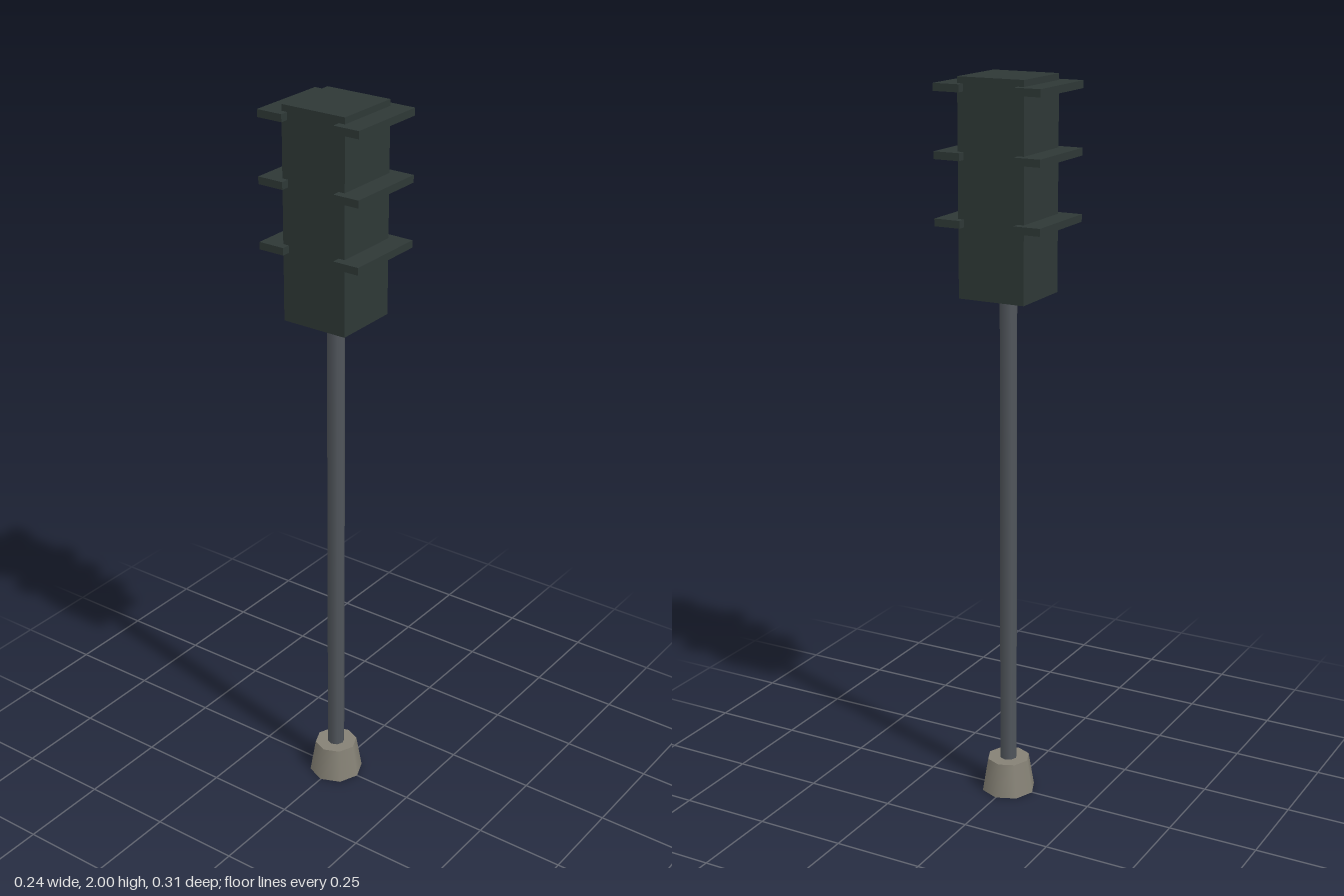
import * as THREE from 'three';

export function createModel() {
  const model = new THREE.Group();
  const housingGreen = new THREE.MeshStandardMaterial({ color: 0x2e3836 });
  const poleGrey = new THREE.MeshStandardMaterial({ color: 0x50555b });
  const concrete = new THREE.MeshStandardMaterial({ color: 0x858175 });

  const add = (name, geometry, material, x, y, z) => {
    const mesh = new THREE.Mesh(geometry, material);
    mesh.name = name;
    mesh.position.set(x, y, z);
    model.add(mesh);
  };

  // Tapered footing and slim pole
  add('base', new THREE.CylinderGeometry(0.06, 0.076, 0.096, 8), concrete, 0, 0.048, 0);
  add('pole', new THREE.CylinderGeometry(0.024, 0.024, 1.44, 8), poleGrey, 0, 0.72, 0);

  // Signal housing
  add('housing', new THREE.BoxGeometry(0.19, 0.568, 0.19), housingGreen, 0, 1.716, 0);

  // Three flat visors on the front and on the back
  const visor = new THREE.BoxGeometry(0.237, 0.02, 0.075);
  for (const [side, sign] of [['front', 1], ['back', -1]]) {
    for (const [level, y] of [['Upper', 1.973], ['Middle', 1.802], ['Lower', 1.63]]) {
      add(`${side}${level}Visor`, visor, housingGreen, 0, y, sign * 0.115);
    }
  }
  return model;
}
